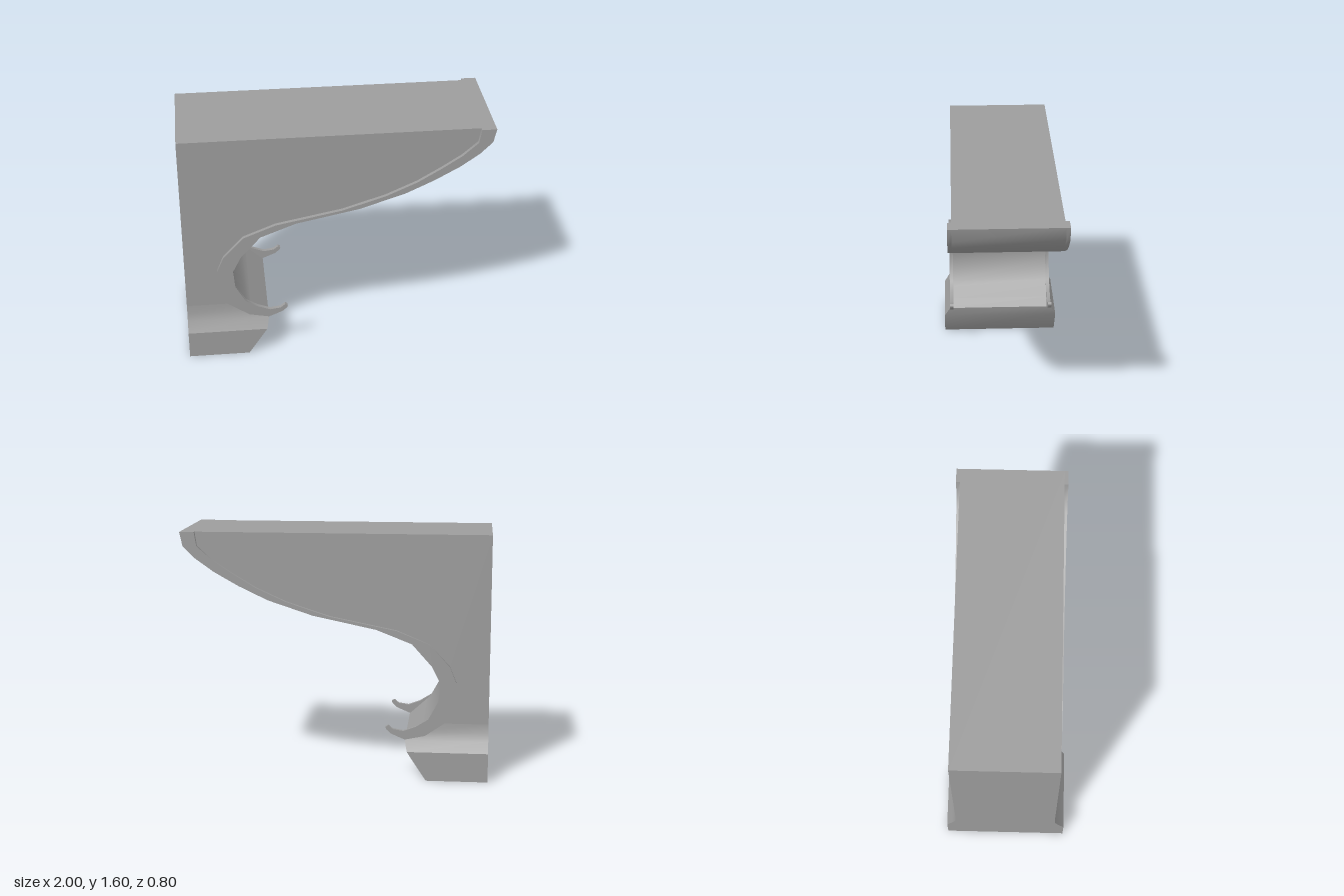
import * as THREE from 'three';
import { toCreasedNormals } from 'three/addons/utils/BufferGeometryUtils.js';

const BODY_Z = 0.335; // half width of the body
const BAND_Z = 0.36;  // half width over the raised bands

// Underside curve, from the top tip down to the foot
const outer = [
  [1, 1.6], [0.98, 1.51], [0.9, 1.43], [0.78, 1.345], [0.62, 1.255], [0.43, 1.165], [0.14, 1.07],
  [-0.27, 0.985], [-0.5, 0.895], [-0.63, 0.75], [-0.685, 0.64], [-0.675, 0.52], [-0.61, 0.4],
];
// Curled hook at the lower end of each band
const hook = [
  [-0.53, 0.35], [-0.45, 0.32], [-0.38, 0.33], [-0.35, 0.355], [-0.333, 0.345],
  [-0.337, 0.33], [-0.37, 0.3], [-0.46, 0.262],
];
// Inner edge of the band, from the hook back up to the tip
const inner = [
  [-0.59, 0.29], [-0.75, 0.4], [-0.79, 0.52], [-0.79, 0.64], [-0.745, 0.75], [-0.61, 0.895], [-0.4, 0.98],
  [0.03, 1.065], [0.31, 1.155], [0.51, 1.245], [0.66, 1.335], [0.79, 1.42], [0.89, 1.51], [0.905, 1.6],
];

function createModel() {
  const group = new THREE.Group();
  const material = new THREE.MeshStandardMaterial({ color: 0x9c9c9c });
  const add = (name, geometry, crease) => {
    const mesh = new THREE.Mesh(toCreasedNormals(geometry, crease), material);
    mesh.name = name;
    group.add(mesh);
  };
  const slab = (points, z0, z1) => {
    const shape = new THREE.Shape(points.map(([x, y]) => new THREE.Vector2(x, y)));
    return new THREE.ExtrudeGeometry(shape, { depth: z1 - z0, bevelEnabled: false }).translate(0, 0, z0);
  };

  // Bracket body with the sweeping underside
  add('body', slab([[-1, 0.37], [-1, 1.6], ...outer, [-0.58, 0.37]], -BODY_Z, BODY_Z), 0.75);

  // Raised bands along the curve, one on each face
  const band = [...outer, ...hook, ...inner];
  add('frontBand', slab(band, BODY_Z, BAND_Z), 0.75);
  add('backBand', slab(band, -BAND_Z, -BODY_Z), 0.75);

  // Foot with a sharp shoulder and a soft flare, lofted through rectangles: [y, front x, half width]
  const rings = [
    [0, -0.6, 0.4], [0.19, -0.475, 0.4], [0.26, -0.46, BAND_Z], [0.31, -0.515, 0.34], [0.37, -0.58, BODY_Z],
  ];
  const positions = [], index = [];
  for (const [y, x, z] of rings) positions.push(-1, y, z, x, y, z, x, y, -z, -1, y, -z);
  for (let r = 0; r < rings.length - 1; r++) {
    for (let i = 0; i < 4; i++) {
      const a = r * 4 + i, b = r * 4 + (i + 1) % 4;
      index.push(a, b, b + 4, a, b + 4, a + 4);
    }
  }
  index.push(0, 3, 2, 0, 2, 1); // underside
  const foot = new THREE.BufferGeometry();
  foot.setAttribute('position', new THREE.Float32BufferAttribute(positions, 3));
  foot.setIndex(index);
  add('foot', foot, 0.45);

  return group;
}

export { createModel };
